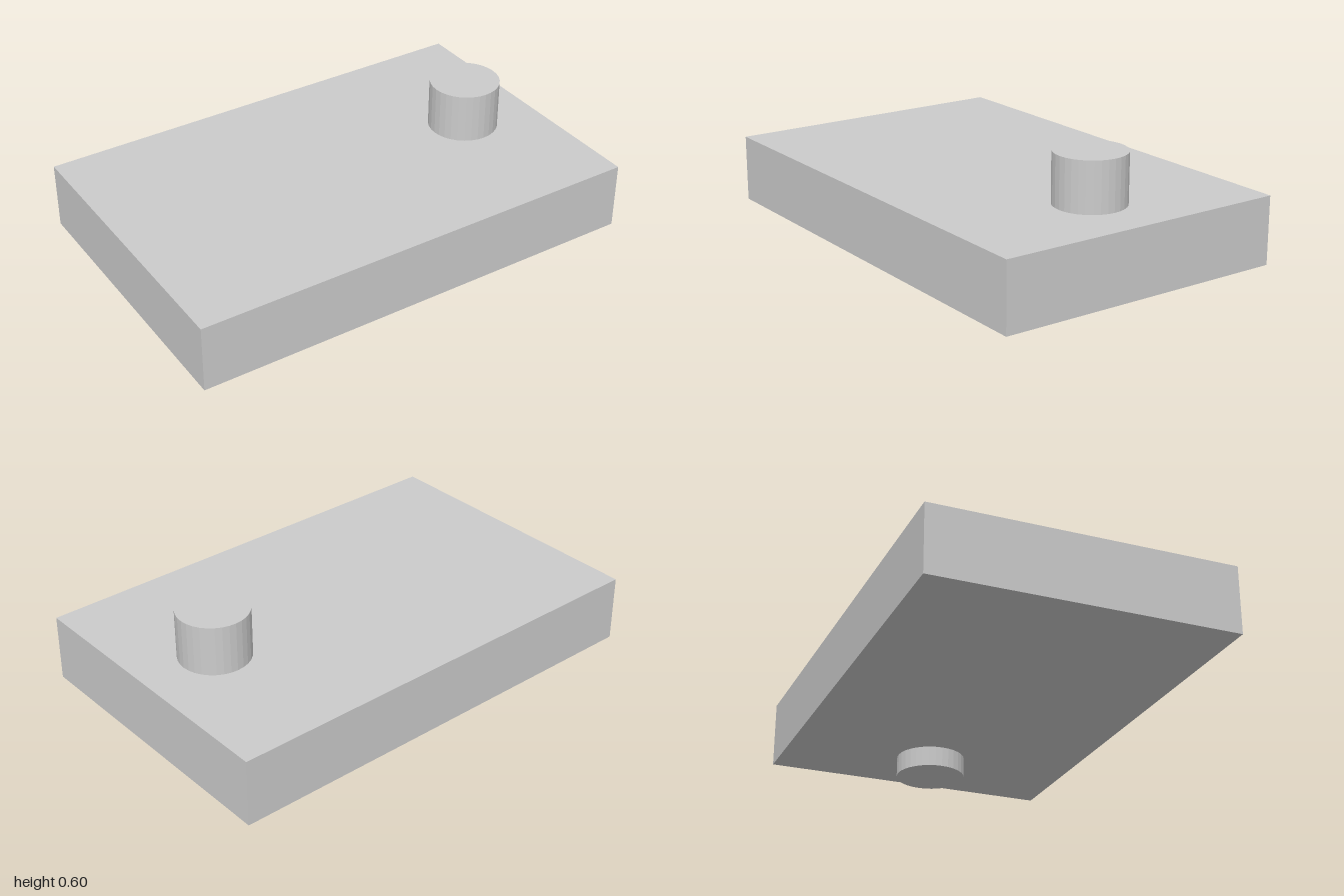
import * as THREE from 'three';

export function createModel() {
  const model = new THREE.Group();
  const material = new THREE.MeshStandardMaterial({ color: 0xcccccc, flatShading: true });

  function addPart(name, geometry, x, bottom, top) {
    const mesh = new THREE.Mesh(geometry, material);
    mesh.name = name;
    mesh.position.set(x, (bottom + top) / 2, 0);
    model.add(mesh);
  }

  // Flat rectangular slab
  const slabBottom = 0.088, slabTop = 0.38;
  addPart('slab', new THREE.BoxGeometry(2, slabTop - slabBottom, 1.29), 0, slabBottom, slabTop);

  // Round pin passing through the slab near its left end
  const pinTop = 0.596;
  addPart('pin', new THREE.CylinderGeometry(0.152, 0.152, pinTop, 32), 0.663, 0, pinTop);

  return model;
}
